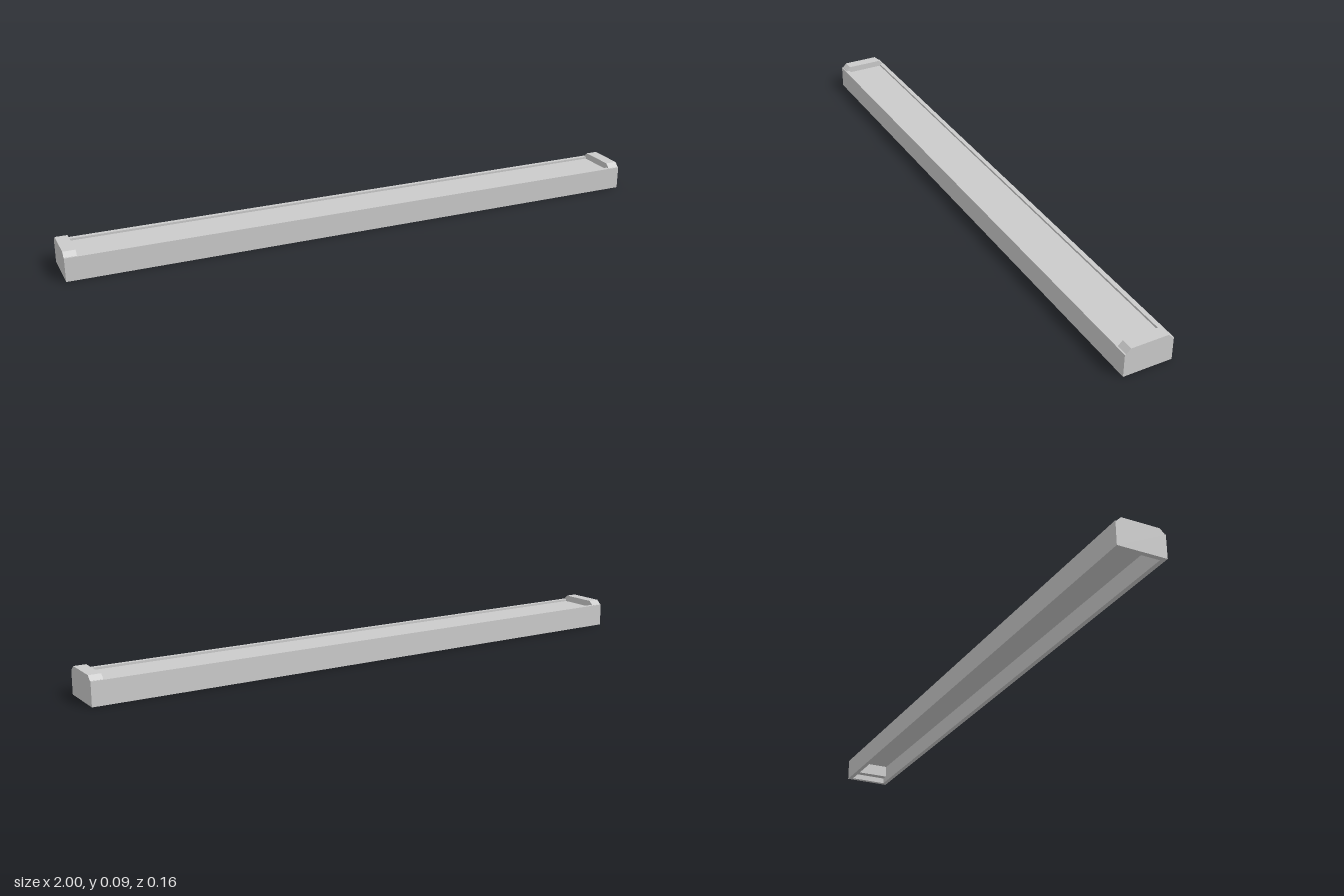
import * as THREE from 'three';

const material = new THREE.MeshStandardMaterial({ color: 0xcccccc, flatShading: true });

// Extrudes a (z, y) profile along x, from x0 to x1
function extrudeX(name, points, x0, x1) {
  const shape = new THREE.Shape(points.map(([z, y]) => new THREE.Vector2(-z, y)));
  const geometry = new THREE.ExtrudeGeometry(shape, { depth: x1 - x0, bevelEnabled: false });
  geometry.rotateY(Math.PI / 2);
  geometry.translate(x0, 0, 0);
  const mesh = new THREE.Mesh(geometry, material);
  mesh.name = name;
  return mesh;
}

// Completes a half profile by mirroring it in z
const mirrored = (half) => [...half, ...half.map(([z, y]) => [-z, y]).reverse()];

export function createModel() {
  const group = new THREE.Group();
  group.name = 'linearHousing';

  const halfLength = 1, halfWidth = 0.081, bodyTop = 0.077;
  const wall = 0.015, capLength = 0.04;
  const innerZ = halfWidth - wall;
  const innerX = halfLength - wall;

  // Long channel: open underneath, with a shallow recessed panel on top
  group.add(extrudeX('channelBody', mirrored([
    [innerZ, 0.062], [innerZ, 0], [halfWidth, 0],
    [halfWidth, bodyTop], [innerZ, bodyTop], [innerZ, 0.07],
  ]), -innerX, innerX));

  for (const side of [-1, 1]) {
    const span = (a, b) => (side > 0 ? [a, b] : [-b, -a]);
    const prefix = side > 0 ? 'left' : 'right';

    // Closing plate at the end of the channel
    group.add(extrudeX(prefix + 'EndPlate', mirrored([
      [halfWidth, 0], [halfWidth, bodyTop],
    ]), ...span(innerX, halfLength)));

    // Plug inside the channel, set up from the open underside
    group.add(extrudeX(prefix + 'EndPlug', mirrored([
      [innerZ, 0.02], [innerZ, bodyTop],
    ]), ...span(halfLength - capLength, innerX)));

    // Raised cap with chamfered shoulders
    group.add(extrudeX(prefix + 'EndCap', mirrored([
      [0.077, 0.07], [0.077, 0.0775], [0.062, 0.092],
    ]), ...span(halfLength - capLength, halfLength)));
  }
  return group;
}
